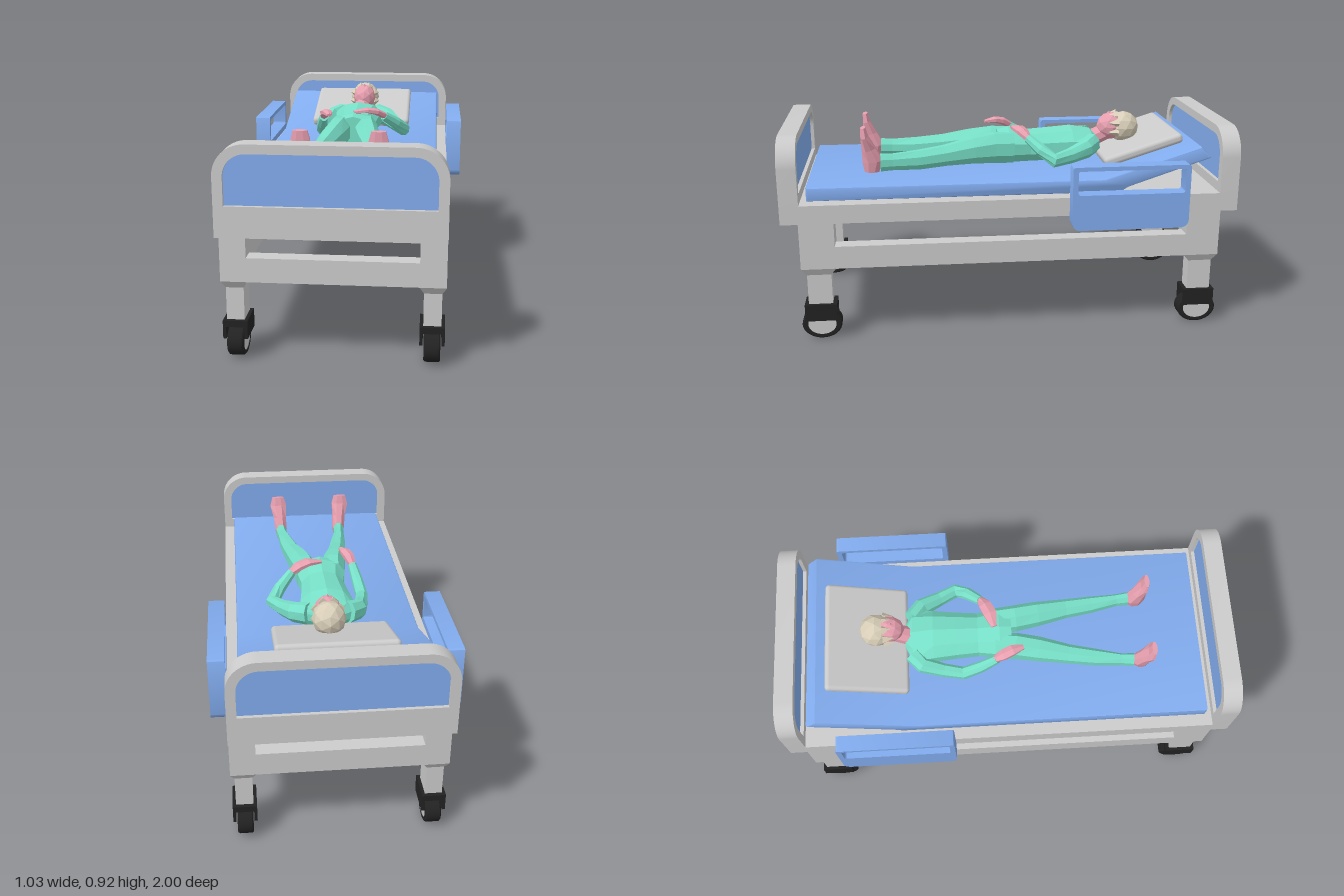
import * as THREE from 'three';
import { toCreasedNormals } from 'three/addons/utils/BufferGeometryUtils.js';
import { RoundedBoxGeometry } from 'three/addons/geometries/RoundedBoxGeometry.js';

const mat = (color, flatShading = false) => new THREE.MeshStandardMaterial({ color, flatShading });
const grey = mat(0xcccccc), blue = mat(0x82acee), black = mat(0x222222);
const cloth = mat(0x78e0c8, true), skin = mat(0xe8a0b0, true), hair = mat(0xd8ceb8, true);

function add(parent, name, geo, material, x = 0, y = 0, z = 0) {
  const m = new THREE.Mesh(geo, material);
  m.name = name;
  m.position.set(x, y, z);
  parent.add(m);
  return m;
}

// Box given by its limits on each axis
function block(parent, name, material, [x0, x1], [y0, y1], [z0, z1]) {
  return add(parent, name, new THREE.BoxGeometry(x1 - x0, y1 - y0, z1 - z0), material,
    (x0 + x1) / 2, (y0 + y1) / 2, (z0 + z1) / 2);
}

// Rectangle with one radius for the top corners and one for the bottom corners
function roundRect(x0, y0, x1, y1, top, bottom, s = new THREE.Shape()) {
  s.moveTo(x0 + bottom, y0).lineTo(x1 - bottom, y0);
  if (bottom) s.absarc(x1 - bottom, y0 + bottom, bottom, -Math.PI / 2, 0);
  s.lineTo(x1, y1 - top);
  s.absarc(x1 - top, y1 - top, top, 0, Math.PI / 2);
  s.lineTo(x0 + top, y1);
  s.absarc(x0 + top, y1 - top, top, Math.PI / 2, Math.PI);
  s.lineTo(x0, y0 + bottom);
  if (bottom) s.absarc(x0 + bottom, y0 + bottom, bottom, Math.PI, Math.PI * 1.5);
  return s;
}

// Extrusion centred on its depth
function extrude(shape, depth, bevel = 0) {
  const g = new THREE.ExtrudeGeometry(shape, {
    depth: depth - 2 * bevel, curveSegments: 8, bevelEnabled: bevel > 0,
    bevelSize: bevel, bevelThickness: bevel, bevelOffset: -bevel, bevelSegments: 2,
  });
  g.translate(0, 0, bevel - depth / 2);
  return toCreasedNormals(g, 0.6);
}

// Low-poly skin over elliptical rings [x, y, z, half width, half height]
function loft(rings, sides = 8, up = new THREE.Vector3(0, 1, 0)) {
  const pos = [], idx = [], n = rings.length;
  const at = (i) => new THREE.Vector3(...rings[Math.min(n - 1, Math.max(0, i))].slice(0, 3));
  rings.forEach(([, , , rw, rh], i) => {
    const t = at(i + 1).sub(at(i - 1)).normalize();
    const side = up.clone().cross(t).normalize();
    const v = t.clone().cross(side);
    for (let j = 0; j < sides; j++) {
      const a = ((j + 0.5) / sides) * Math.PI * 2;
      const p = at(i).addScaledVector(side, Math.cos(a) * rw).addScaledVector(v, Math.sin(a) * rh);
      pos.push(p.x, p.y, p.z);
    }
  });
  for (let i = 0; i < n - 1; i++) for (let j = 0; j < sides; j++) {
    const a = i * sides + j, b = i * sides + (j + 1) % sides;
    idx.push(a, b, a + sides, b, b + sides, a + sides);
  }
  const last = (n - 1) * sides;
  for (let j = 1; j < sides - 1; j++) idx.push(0, j + 1, j, last, last + j, last + j + 1);
  const g = new THREE.BufferGeometry();
  g.setAttribute('position', new THREE.Float32BufferAttribute(pos, 3));
  g.setIndex(idx);
  g.computeVertexNormals();
  return g;
}

function makeCaster() {
  const g = new THREE.Group();
  g.name = 'caster';
  block(g, 'forkTop', black, [-0.05, 0.05], [0.14, 0.167], [-0.07, 0.07]);
  for (const s of [-1, 1])
    add(g, 'forkSide', new THREE.BoxGeometry(0.013, 0.075, 0.14), black, s * 0.0435, 0.128, 0);
  const profile = [[0.062, -0.033], [0.08, -0.033], [0.087, -0.027], [0.087, 0.027], [0.08, 0.033], [0.062, 0.033]];
  const tyre = new THREE.LatheGeometry(profile.map((p) => new THREE.Vector2(...p)), 32);
  const hub = new THREE.CylinderGeometry(0.063, 0.063, 0.06, 32);
  for (const [name, geo, m] of [['tyre', tyre, black], ['hub', hub, grey]]) {
    geo.rotateZ(Math.PI / 2);
    geo.scale(1, 0.78, 1);
    add(g, name, toCreasedNormals(geo, 0.6), m, 0, 0.068, 0);
  }
  return g;
}

function makePatient() {
  const g = new THREE.Group();
  g.name = 'patient';
  add(g, 'torso', loft([
    [0, 0.765, -0.445, 0.05, 0.04], [0, 0.765, -0.41, 0.13, 0.065], [0, 0.765, -0.32, 0.12, 0.082],
    [0, 0.76, -0.22, 0.108, 0.08], [0, 0.755, -0.12, 0.1, 0.078], [0, 0.76, -0.02, 0.118, 0.085],
    [0, 0.76, 0.03, 0.1, 0.075],
  ], 10), cloth);
  add(g, 'neck', loft([[0, 0.775, -0.41, 0.042, 0.04], [0.01, 0.82, -0.5, 0.038, 0.04]]), skin);

  // Head, hair cap and pointed locks
  const face = add(g, 'face', new THREE.IcosahedronGeometry(1, 1), skin, 0.015, 0.843, -0.515);
  face.scale.set(0.058, 0.065, 0.072);
  const cap = add(g, 'hair', new THREE.IcosahedronGeometry(1, 1), hair, 0.015, 0.838, -0.57);
  cap.scale.set(0.072, 0.073, 0.074);
  for (let i = 0; i < 6; i++) {
    const a = -0.35 + (i / 5) * (Math.PI + 0.7);
    const lock = add(g, 'hairLock', new THREE.ConeGeometry(0.022, 0.05, 4), hair,
      0.015 + Math.cos(a) * 0.056, 0.84 + Math.sin(a) * 0.058, -0.512);
    lock.rotation.x = Math.PI / 2;
  }
  const nose = add(g, 'nose', new THREE.ConeGeometry(0.012, 0.025, 4), skin, 0.015, 0.903, -0.5);
  nose.scale.z = 1.6;

  // Legs and upright feet
  for (const s of [-1, 1]) {
    add(g, 'leg', loft([
      [s * 0.06, 0.76, -0.04, 0.055, 0.075], [s * 0.067, 0.762, 0.05, 0.057, 0.075],
      [s * 0.085, 0.757, 0.15, 0.055, 0.064], [s * 0.11, 0.742, 0.28, 0.043, 0.05],
      [s * 0.128, 0.73, 0.4, 0.037, 0.047], [s * 0.145, 0.727, 0.52, 0.025, 0.04],
      [s * 0.15, 0.727, 0.575, 0.028, 0.043],
    ]), cloth);
    add(g, 'foot', loft([
      [s * 0.15, 0.683, 0.615, 0.023, 0.034], [s * 0.15, 0.735, 0.608, 0.032, 0.05],
      [s * 0.154, 0.79, 0.625, 0.034, 0.034], [s * 0.16, 0.85, 0.642, 0.044, 0.018],
      [s * 0.16, 0.892, 0.647, 0.032, 0.012],
    ], 8, new THREE.Vector3(0, 0, 1)), skin);
  }

  // Left arm bent over the belly, right arm resting on the hip
  add(g, 'leftSleeve', loft([
    [0.085, 0.775, -0.41, 0.042, 0.05], [0.145, 0.765, -0.37, 0.04, 0.045], [0.19, 0.745, -0.29, 0.032, 0.036],
    [0.232, 0.735, -0.21, 0.03, 0.033], [0.195, 0.775, -0.155, 0.028, 0.028], [0.14, 0.82, -0.1, 0.021, 0.022],
  ]), cloth);
  add(g, 'leftHand', loft([
    [0.15, 0.815, -0.105, 0.016, 0.016], [0.105, 0.842, -0.08, 0.032, 0.016],
    [0.06, 0.852, -0.06, 0.034, 0.013], [0, 0.845, -0.045, 0.014, 0.008],
  ], 6), skin);
  add(g, 'rightSleeve', loft([
    [-0.085, 0.775, -0.41, 0.042, 0.05], [-0.135, 0.765, -0.37, 0.036, 0.045], [-0.157, 0.745, -0.28, 0.03, 0.036],
    [-0.172, 0.735, -0.19, 0.028, 0.033], [-0.16, 0.775, -0.11, 0.026, 0.028], [-0.145, 0.82, -0.04, 0.02, 0.022],
  ]), cloth);
  add(g, 'rightHand', loft([
    [-0.146, 0.82, -0.05, 0.016, 0.016], [-0.135, 0.845, -0.01, 0.027, 0.018],
    [-0.12, 0.855, 0.03, 0.027, 0.015], [-0.105, 0.85, 0.078, 0.012, 0.008],
  ], 6), skin);
  return g;
}

export function createModel() {
  const bed = new THREE.Group();
  bed.name = 'hospitalBed';
  block(bed, 'deck', grey, [-0.445, 0.445], [0.54, 0.622], [-1, 1]);

  // Headboard and footboard with recessed panels
  const outline = roundRect(-0.445, 0.545, 0.445, 0.905, 0.125, 0);
  outline.holes.push(roundRect(-0.405, 0.665, 0.405, 0.868, 0.09, 0, new THREE.Path()));
  const panel = roundRect(-0.41, 0.66, 0.41, 0.873, 0.09, 0);
  for (const s of [-1, 1]) {
    const end = s < 0 ? 'head' : 'foot';
    add(bed, end + 'board', extrude(outline, 0.082), grey, 0, 0, s * 0.959);
    add(bed, end + 'boardPanel', extrude(panel, 0.05), blue, 0, 0, s * 0.959);
  }

  // Lower frame, posts, tapered legs and casters
  for (const s of [-1, 1]) {
    add(bed, 'lowerSideRail', new THREE.BoxGeometry(0.07, 0.1, 1.85), grey, s * 0.41, 0.385, 0);
    add(bed, 'lowerEndRail', new THREE.BoxGeometry(0.75, 0.1, 0.07), grey, 0, 0.385, s * 0.89);
    for (const e of [-1, 1]) {
      const x = s * 0.3925, z = e * 0.85;
      add(bed, 'cornerPost', new THREE.BoxGeometry(0.105, 0.21, 0.15), grey, x, 0.44, z);
      const taper = new THREE.BoxGeometry(0.105, 0.032, 0.15);
      const p = taper.attributes.position;
      for (let i = 0; i < p.count; i++)
        if (p.getY(i) < 0) p.setXYZ(i, p.getX(i) * 0.69, p.getY(i), p.getZ(i) * 0.7);
      taper.computeVertexNormals();
      add(bed, 'legTaper', taper, grey, x, 0.319, z);
      add(bed, 'leg', new THREE.BoxGeometry(0.072, 0.145, 0.105), grey, x, 0.235, z);
      const caster = makeCaster();
      caster.position.set(x, 0, z);
      bed.add(caster);
    }
  }

  // Mattress with raised back, drawn in side profile
  const side = [[0.89, 0.625], [0.89, 0.685], [-0.41, 0.685], [-0.84, 0.82], [-0.888, 0.77], [-0.52, 0.648], [-0.48, 0.625]];
  const profile = new THREE.Shape(side.map(([z, y]) => new THREE.Vector2(z, y)).reverse());
  add(bed, 'mattress', extrude(profile, 0.79, 0.01), blue).rotation.y = -Math.PI / 2;
  const pillow = add(bed, 'pillow', new RoundedBoxGeometry(0.5, 0.045, 0.375, 3, 0.018), grey, 0, 0.774, -0.618);
  pillow.rotation.x = 0.305;

  // Side guards with a hand opening
  const guard = roundRect(-0.76, 0.492, -0.245, 0.775, 0.012, 0.035);
  guard.holes.push(roundRect(-0.737, 0.65, -0.268, 0.757, 0.01, 0.01, new THREE.Path()));
  for (const s of [-1, 1])
    add(bed, 'sideGuard', extrude(guard, 0.07), blue, s * 0.479, 0, 0).rotation.y = -Math.PI / 2;

  bed.add(makePatient());
  return bed;
}
